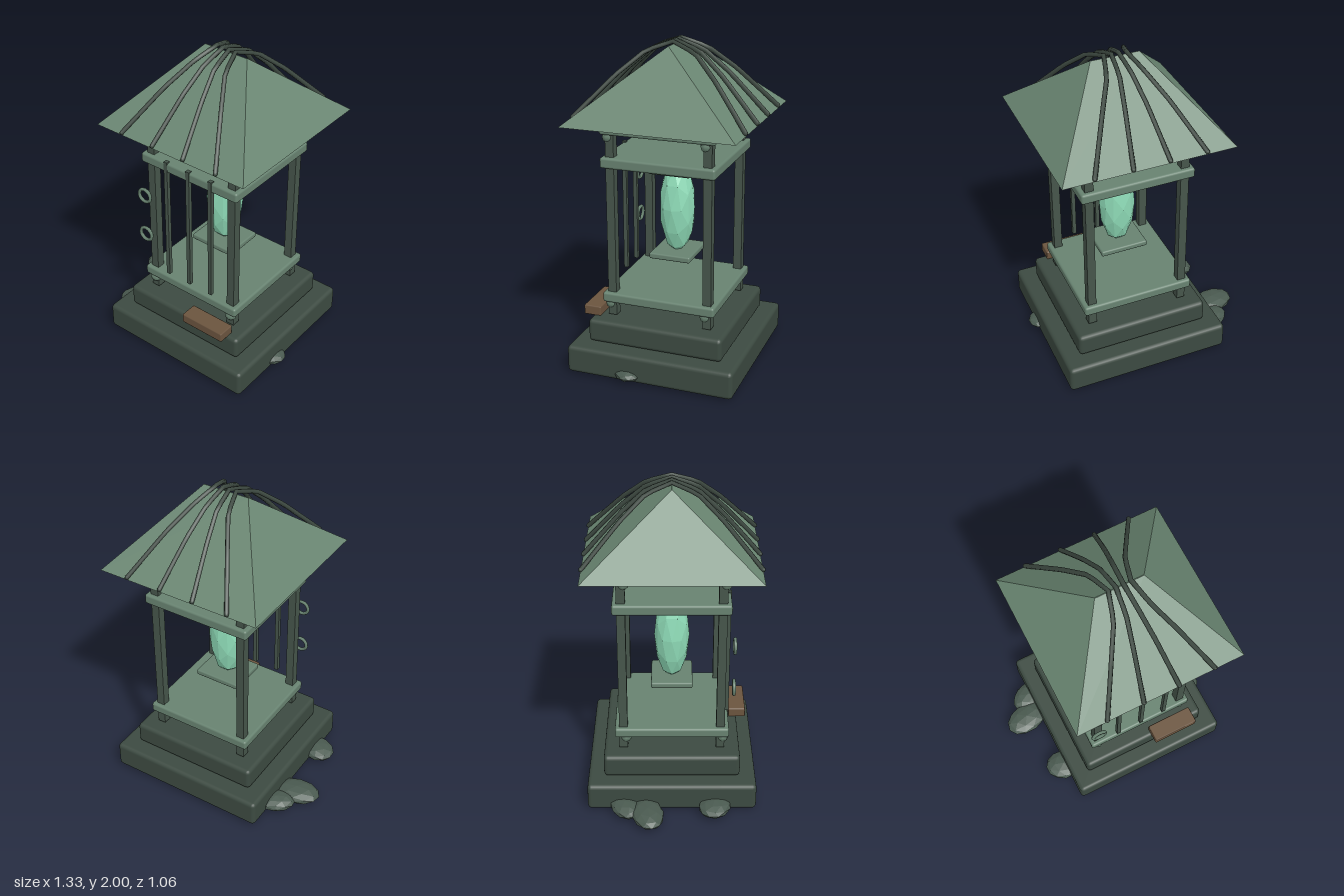
import * as THREE from 'three';
import { RoundedBoxGeometry } from 'three/addons/geometries/RoundedBoxGeometry.js';

const mat = (name, color, flatShading = false) => {
  const m = new THREE.MeshStandardMaterial({ color, flatShading });
  m.name = name;
  return m;
};

export function createModel() {
  const model = new THREE.Group();
  model.name = 'stoneLantern';
  const stone = mat('dark stone', 0x3c4a41);
  const iron = mat('dark iron', 0x46554b);
  const rib = mat('rib iron', 0x3c4840);
  const copper = mat('weathered copper', 0x678270);
  const copperFlat = mat('roof copper', 0x6a8672, true);
  const crystalMat = mat('pale green crystal', 0x8fdcb8, true);
  const wood = mat('brown wood', 0x6b543e);
  const rockMat = mat('grey green rock', 0x4a5a50, true);

  // The lantern stands slightly off centre, balanced by the rocks
  const lantern = new THREE.Group();
  lantern.name = 'lantern';
  lantern.position.x = 0.095;
  model.add(lantern);

  const add = (name, geo, material, x, y, z, parent = lantern) => {
    const mesh = new THREE.Mesh(geo, material);
    mesh.name = name;
    mesh.position.set(x, y, z);
    parent.add(mesh);
    return mesh;
  };
  // Square rounded slab between two heights
  const slab = (name, w, d, y0, y1, r, material) =>
    add(name, new RoundedBoxGeometry(w, y1 - y0, d, 2, r), material, 0, (y0 + y1) / 2, 0);

  // Stepped base
  slab('lowerStep', 1.045, 1.045, 0.01, 0.182, 0.025, stone);
  slab('upperStep', 0.845, 0.845, 0.186, 0.33, 0.025, stone);

  // Cage plates
  slab('floorPlate', 0.705, 0.705, 0.428, 0.49, 0.014, copper);
  slab('middlePlate', 0.705, 0.705, 1.273, 1.337, 0.014, copper);
  slab('topPlate', 0.705, 0.705, 1.474, 1.537, 0.014, copper);

  // Corner posts with knobs under the plates
  for (const sx of [-1, 1]) for (const sz of [-1, 1]) {
    add('post', new THREE.BoxGeometry(0.052, 1.2, 0.052), iron, sx * 0.298, 0.94, sz * 0.3);
    for (const y of [0.41, 1.455])
      add('knob', new THREE.SphereGeometry(0.038, 8, 6), copper, sx * 0.298, y, sz * 0.3 + 0.015);
  }

  // Front bars
  for (const x of [-0.163, 0, 0.163])
    add('bar', new THREE.BoxGeometry(0.025, 0.825, 0.025), iron, x, 0.932, 0.343);

  // Rings on the front right post
  for (const y of [0.77, 1.055])
    add('ring', new THREE.TorusGeometry(0.043, 0.011, 6, 16), copper, -0.315, y, 0.375);

  // Crystal held between two small plates
  slab('crystalLowerHolder', 0.3, 0.26, 0.663, 0.7, 0.01, copper);
  slab('crystalUpperHolder', 0.3, 0.26, 1.2, 1.239, 0.01, copper);
  const crystal = add('crystal', new THREE.IcosahedronGeometry(1, 1), crystalMat, 0, 0.97, 0);
  crystal.scale.set(0.113, 0.3, 0.11);

  // Hipped roof: a box whose top is drawn in to a ridge
  const roofGeo = new THREE.BoxGeometry(1.045, 0.425, 1.045);
  const p = roofGeo.attributes.position;
  for (let i = 0; i < p.count; i++)
    if (p.getY(i) > 0) p.setXYZ(i, Math.sign(p.getX(i)) * 0.148, p.getY(i), Math.sign(p.getZ(i)) * 0.002);
  roofGeo.computeVertexNormals();
  add('roof', roofGeo, copperFlat, 0, 1.757, 0);

  // Bent ribs over the roof: [share of spread, height, depth]
  const half = [[1, 1.56, 0.52], [0.6, 1.8, 0.3], [0.33, 1.932, 0.15]];
  const profile = [...half, [0.2, 1.985, 0], ...half.map(([s, y, z]) => [s, y, -z]).reverse()];
  for (const k of [-0.335, -0.11, 0.11, 0.335]) {
    const path = new THREE.CurvePath();
    const pts = profile.map(([s, y, z]) => new THREE.Vector3(k * s, y, z));
    for (let i = 1; i < pts.length; i++) path.add(new THREE.LineCurve3(pts[i - 1], pts[i]));
    add('roofRib', new THREE.TubeGeometry(path, 24, 0.014, 6), rib, 0, 0, 0);
    // Rib end caps
    for (const e of [pts[0], pts[pts.length - 1]])
      add('ribEnd', new THREE.SphereGeometry(0.014, 6, 4), rib, e.x, e.y, e.z);
  }

  // Loose plank on the step
  add('plank', new RoundedBoxGeometry(0.3, 0.062, 0.11, 1, 0.008), wood, 0.295, 0.356, 0.425, model);

  // Fallen rocks beside the base: x, y, z, half sizes, turn
  const rocks = [
    [-0.52, 0.047, -0.15, 0.15, 0.046, 0.1, 0.2],
    [-0.45, 0.047, -0.29, 0.12, 0.044, 0.085, 0.5],
    [-0.44, 0.047, 0.265, 0.12, 0.044, 0.1, -0.3],
    [0.57, 0.05, 0.14, 0.1, 0.036, 0.085, 0.4],
  ];
  for (const [x, y, z, rx, ry, rz, turn] of rocks) {
    const r = add('rock', new THREE.IcosahedronGeometry(1, 1), rockMat, x, y, z, model);
    r.scale.set(rx, ry, rz);
    r.rotation.y = turn;
  }
  return model;
}
